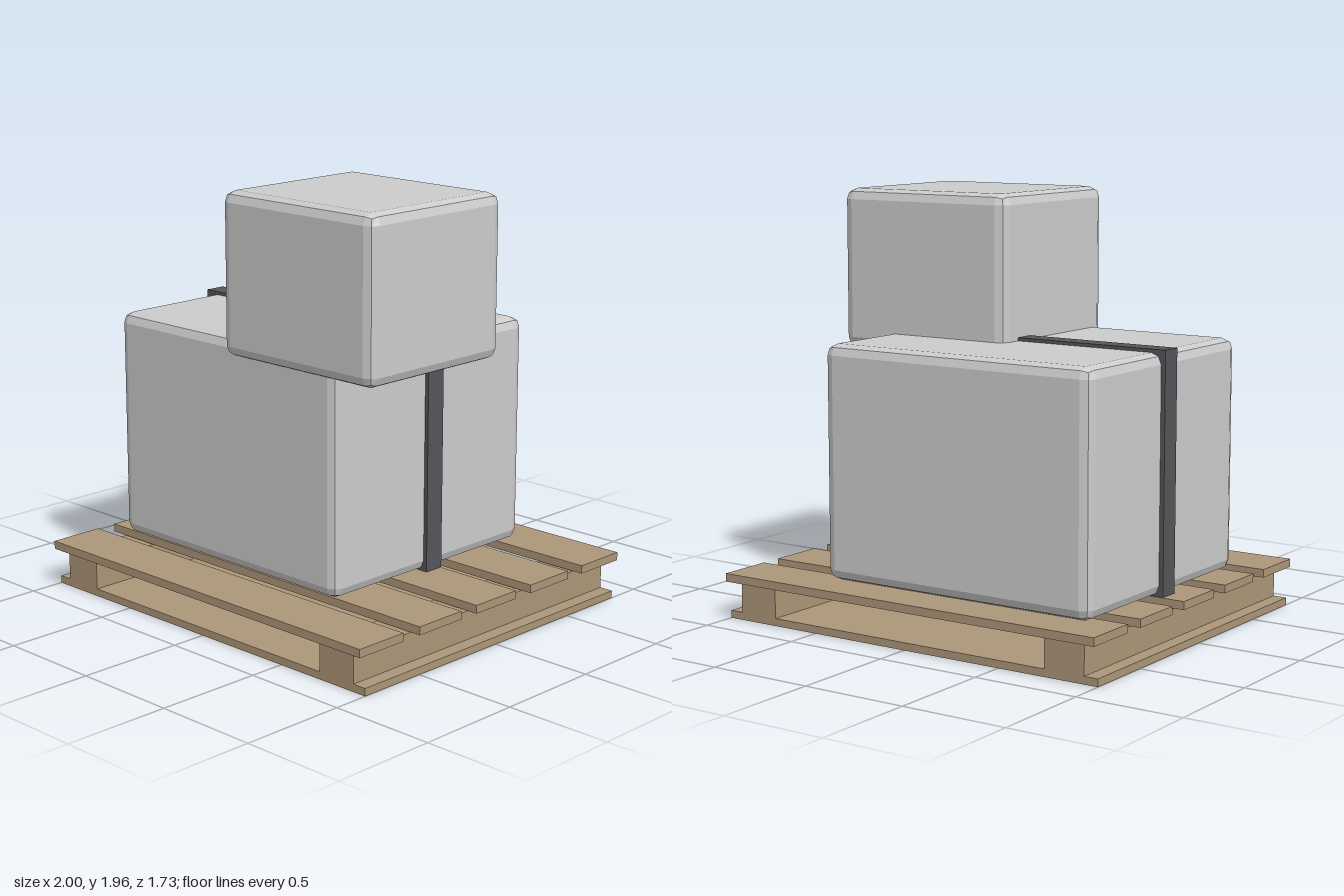
import * as THREE from 'three';
import { RoundedBoxGeometry } from 'three/addons/geometries/RoundedBoxGeometry.js';

const wood = new THREE.MeshStandardMaterial({ color: 0xac9678 });
const strapMaterial = new THREE.MeshStandardMaterial({ color: 0x55555a });
const grey = new THREE.MeshStandardMaterial({ color: 0xcccccc, flatShading: true });

// Box given by its extents on each axis; a bevel radius rounds its edges
function addBox(parent, name, material, [x0, x1], [y0, y1], [z0, z1], bevel = 0) {
  const size = [x1 - x0, y1 - y0, z1 - z0];
  const geometry = bevel
    ? new RoundedBoxGeometry(...size, 1, bevel)
    : new THREE.BoxGeometry(...size);
  const mesh = new THREE.Mesh(geometry, material);
  mesh.name = name;
  mesh.position.set((x0 + x1) / 2, (y0 + y1) / 2, (z0 + z1) / 2);
  parent.add(mesh);
}

export function createModel() {
  const model = new THREE.Group();
  model.name = 'loadedPallet';

  // Pallet: base sheet, two side runners, five deck slats
  const pallet = new THREE.Group();
  pallet.name = 'pallet';
  model.add(pallet);
  const depth = [-0.833, 0.833];
  addBox(pallet, 'baseSheet', wood, [-1, 1], [0, 0.035], depth);
  addBox(pallet, 'leftRunner', wood, [0.733, 0.933], [0.035, 0.169], depth);
  addBox(pallet, 'rightRunner', wood, [-0.933, -0.733], [0.035, 0.169], depth);
  for (let i = -2; i <= 2; i++) {
    const z = i * 0.3665;
    addBox(pallet, `deckSlat${i + 3}`, wood, [-1, 1], [0.178, 0.216], [z - 0.133, z + 0.133]);
  }

  // Cargo: large crate, its strap, and a smaller crate on top
  addBox(model, 'largeCrate', grey, [-0.872, 0.537], [0.218, 1.296], [-0.707, 0.538], 0.05);
  addBox(model, 'strap', strapMaterial, [-0.893, 0.556], [0.218, 1.311], [-0.133, -0.033]);
  addBox(model, 'smallCrate', grey, [-0.125, 0.785], [1.215, 1.958], [-0.247, 0.578], 0.05);

  return model;
}
